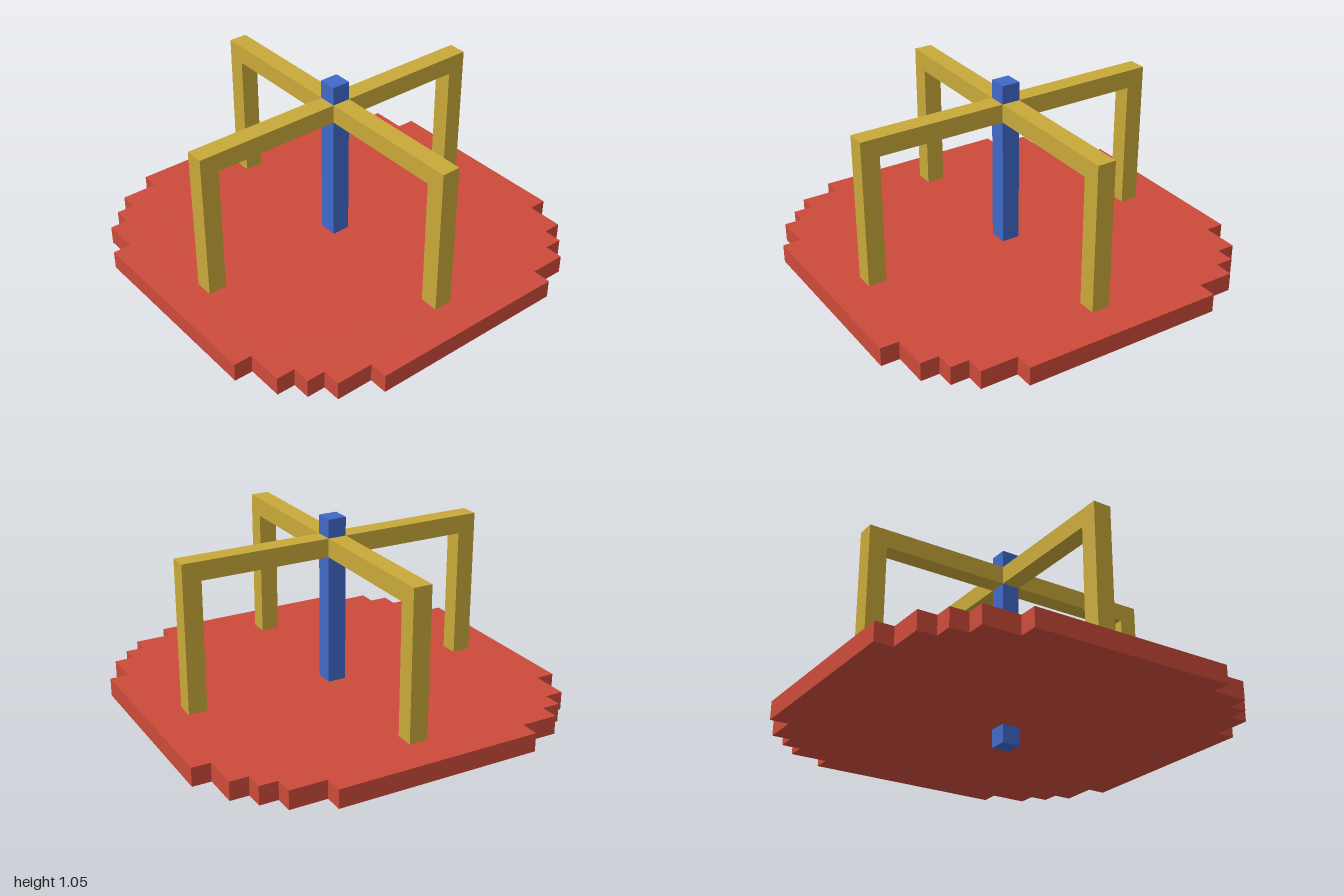
import * as THREE from 'three';

// The model sits on a block grid, 21 blocks across two units
const U = 2 / 21;

const red = new THREE.MeshStandardMaterial({ name: 'deck red', color: 0xcc4b3b });
const yellow = new THREE.MeshStandardMaterial({ name: 'rail yellow', color: 0xc9a93a });
const blue = new THREE.MeshStandardMaterial({ name: 'post blue', color: 0x4169c8 });

// Extrude an outline given in blocks
function extrude(points, depth) {
  const shape = new THREE.Shape(points.map(([x, y]) => new THREE.Vector2(x * U, y * U)));
  return new THREE.ExtrudeGeometry(shape, { depth: depth * U, bevelEnabled: false });
}

function part(name, geometry, material) {
  const mesh = new THREE.Mesh(geometry, material);
  mesh.name = name;
  return mesh;
}

export function createModel() {
  const model = new THREE.Group();
  model.name = 'merryGoRound';

  // Stepped round deck: one corner's outline, turned four times
  const corner = [
    [10.5, 5.5], [9.5, 5.5], [9.5, 7.5], [8.5, 7.5], [8.5, 8.5],
    [7.5, 8.5], [7.5, 9.5], [5.5, 9.5], [5.5, 10.5],
  ];
  const outline = [];
  let turned = corner;
  for (let i = 0; i < 4; i++) {
    outline.push(...turned);
    turned = turned.map(([x, y]) => [-y, x]);
  }
  const deck = part('deck', extrude(outline, 1).rotateX(-Math.PI / 2), red);
  deck.position.y = U;
  model.add(deck);

  // Centre post, running from the ground up through the deck
  const post = part('centrePost', new THREE.BoxGeometry(U, 11 * U, U), blue);
  post.position.y = 5.5 * U;
  model.add(post);

  // Four handrails: a bar out from the post and a leg down to the deck
  const rail = extrude([[0.5, 9], [7.5, 9], [7.5, 2], [8.5, 2], [8.5, 10], [0.5, 10]], 1);
  rail.translate(0, 0, -U / 2);
  ['leftRail', 'backRail', 'rightRail', 'frontRail'].forEach((name, i) => {
    const mesh = part(name, rail, yellow);
    mesh.rotation.y = i * Math.PI / 2;
    model.add(mesh);
  });

  return model;
}
